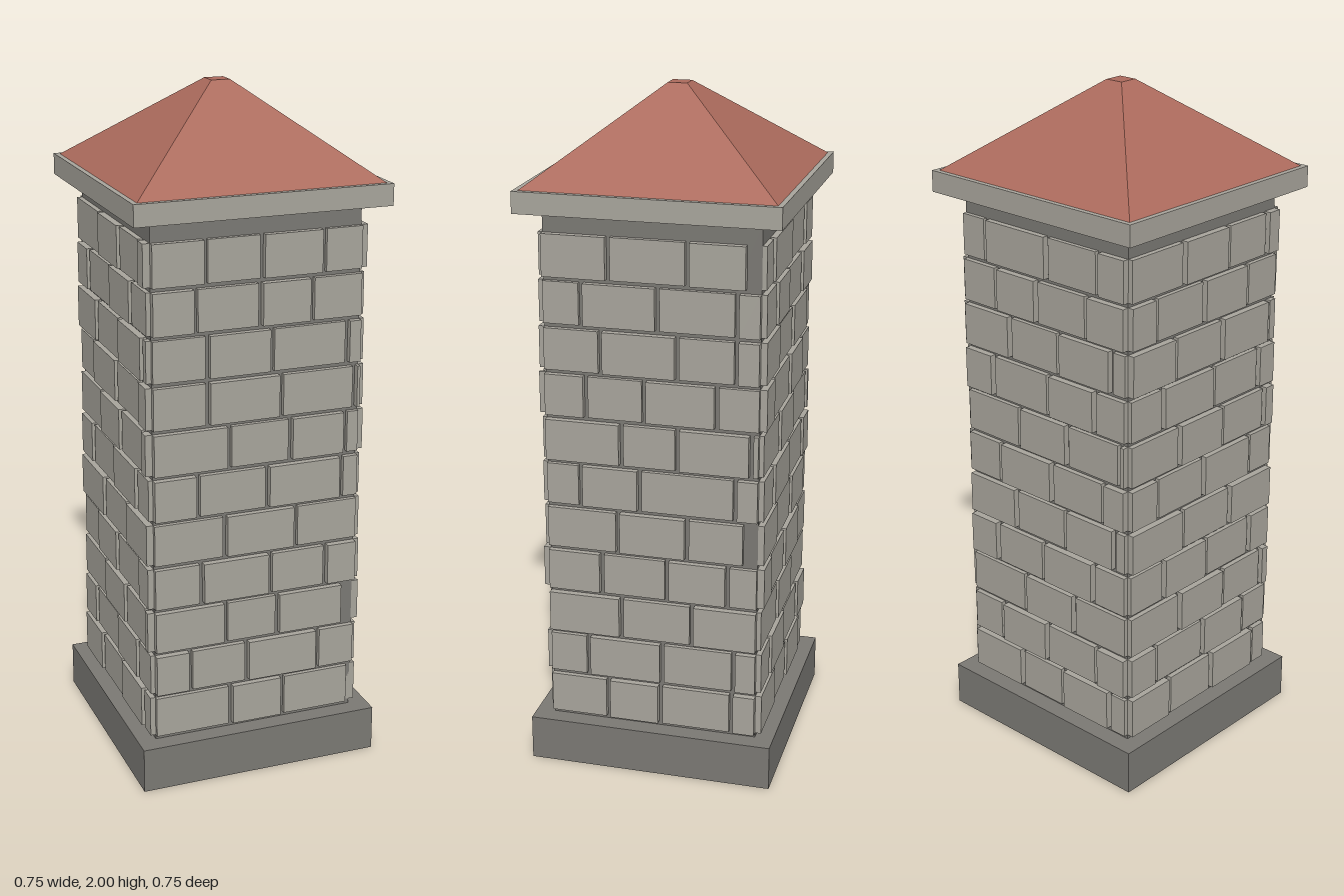
import * as THREE from 'three';

const HALF = 0.31;      // half width of the mortar core
const ROW_PITCH = 0.1353;
const FIRST_ROW = 0.21; // height of the lowest course's middle
const STONE_H = 0.122;
const JOINT = 0.013;

// Joint positions along each wall, left to right, lowest course first
const WALLS = [
  { name: 'front', turn: 0, rows: [
    [-.08, .085, .3], [-.205, -.03, .195], [-.095, .066, .275], [-.17, .042, .215],
    [-.098, .12], [-.18, .03, .26], [-.085, .1, .27], [-.15, .07, .295],
    [-.15, .042, .27], [-.185, .005, .16], [-.155, .01, .195]] },
  { name: 'left', turn: 1, rows: [
    [-.135, .025, .24], [-.195, .03, .245], [-.092, .12], [-.15, .045, .225],
    [-.1, .105, .275], [-.21, -.035, .245], [-.087, .077, .29], [-.19, -.02, .19],
    [-.145, .077, .245], [-.2, .02, .245], [-.12, .105, .275]] },
  { name: 'back', turn: 2, rows: [
    [-.11, .06, .25], [-.19, .0, .2], [-.09, .11], [-.2, -.01, .19],
    [-.12, .08, .27], [-.18, .03, .23], [-.1, .09, .29], [-.2, .02, .2],
    [-.13, .06, .26], [-.18, -.02, .17], [-.22, .02, .21]] },
  { name: 'right', turn: 3, rows: [
    [-.14, .05, .25], [-.2, .01, .2], [-.1, .1, .28], [-.17, .02, .22],
    [-.09, .12], [-.2, .0, .21], [-.11, .08, .27], [-.18, .04, .24],
    [-.13, .07, .28], [-.21, -.01, .18], [-.1, .09, .26]] },
];

function material(name, color) {
  const m = new THREE.MeshStandardMaterial({ color });
  m.name = name;
  return m;
}

function part(name, geometry, mat, x, y, z) {
  const mesh = new THREE.Mesh(geometry, mat);
  mesh.name = name;
  mesh.position.set(x, y, z);
  return mesh;
}

// Truncated square pyramid with sides parallel to the axes
function frustum(topHalf, bottomHalf, height) {
  const g = new THREE.CylinderGeometry(topHalf * Math.SQRT2, bottomHalf * Math.SQRT2, height, 4, 1).toNonIndexed();
  g.rotateY(Math.PI / 4);
  g.computeVertexNormals();
  return g;
}

// One wall of staggered stones, facing +z before it is turned
function stoneWall({ name, turn, rows }, mat) {
  const wall = new THREE.Group();
  wall.name = name + 'Wall';
  wall.rotation.y = turn * Math.PI / 2;
  rows.forEach((joints, row) => {
    const edges = [-HALF - JOINT / 2, ...joints, HALF + JOINT / 2];
    // A wide gap stays open where the last leftover is too narrow for a stone
    for (let i = 0; i < edges.length - 1; i++) {
      const width = edges[i + 1] - edges[i] - JOINT;
      if (edges[i] > 0.274 && edges[i] < 0.276) continue;
      if (width < 0.005) continue;
      const out = 0.013 + 0.0025 * ((row * 3 + i * 2 + turn) % 4);
      const geometry = new THREE.BoxGeometry(width, STONE_H, out + 0.01);
      const x = (edges[i] + edges[i + 1]) / 2;
      wall.add(part('stone', geometry, mat, x, FIRST_ROW + row * ROW_PITCH, HALF + (out - 0.01) / 2));
    }
  });
  return wall;
}

export function createModel() {
  const stone = material('pale stone', 0xa8a59c);
  const mortar = material('dark mortar', 0x7b7974);
  const tile = material('red roof', 0xab6a5c);

  const tower = new THREE.Group();
  tower.name = 'stonePillar';

  // Plinth, core and the projecting ledge
  tower.add(part('plinth', new THREE.BoxGeometry(0.73, 0.135, 0.73), mortar, 0, 0.0675, 0));
  tower.add(part('core', new THREE.BoxGeometry(HALF * 2, 1.55, HALF * 2), mortar, 0, 0.91, 0));
  tower.add(part('ledge', new THREE.BoxGeometry(0.75, 0.062, 0.75), stone, 0, 1.716, 0));

  // Stone courses on the four sides
  for (const wall of WALLS) tower.add(stoneWall(wall, stone));

  // Roof with a small flat top
  tower.add(part('roof', frustum(0.028, 0.36, 0.253), tile, 0, 1.8735, 0));
  return tower;
}
